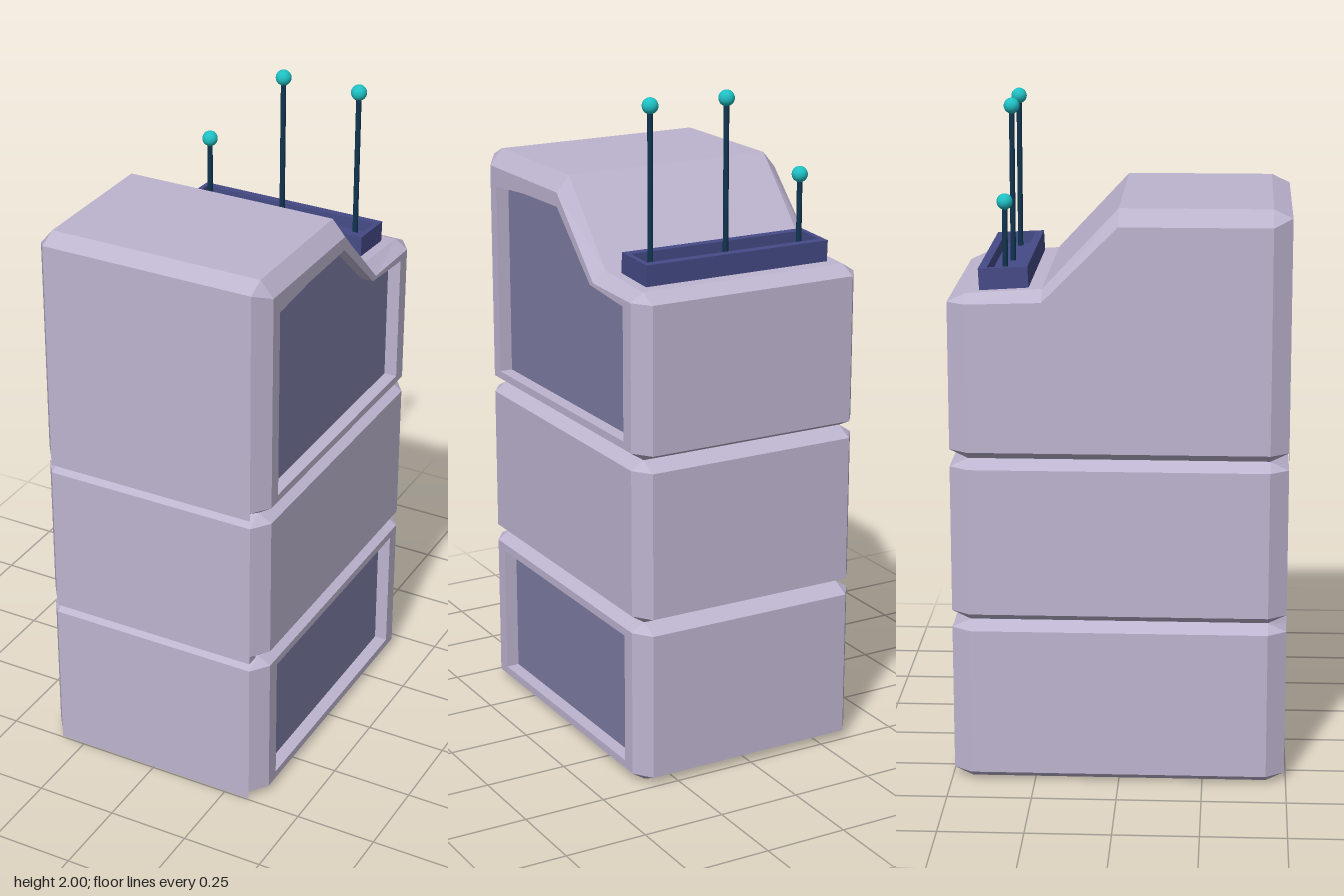
import * as THREE from 'three';

const mat = (color, side = THREE.FrontSide) =>
  new THREE.MeshStandardMaterial({ color, side, flatShading: true });
const bodyMat = mat(0xbdb4cf, THREE.DoubleSide);
const panelMat = mat(0x7d7ba3, THREE.DoubleSide);
const rackMat = mat(0x454a86);
const rodMat = mat(0x10344f);
const ballMat = new THREE.MeshStandardMaterial({ color: 0x1fc0c4 });

const XI = 0.33, XO = 0.37;   // half width of the front face / of the side faces
const ZI = 0.44, ZO = 0.495;  // half depth of the side faces / of the front face
const B = 0.026;              // height of the bevels
const RECESS = 0.04;

const toShape = (pts) => new THREE.Shape(pts.map(([u, v]) => new THREE.Vector2(u, v)));

function add(group, name, geometry, material) {
  const mesh = new THREE.Mesh(geometry, material);
  mesh.name = name;
  group.add(mesh);
  return mesh;
}

// Flat face in its own xy plane; with a hole it becomes a frame around a sunken panel
function face(name, outline, hole) {
  const g = new THREE.Group();
  g.name = name;
  const shape = toShape(outline);
  if (!hole) {
    add(g, name + 'Plate', new THREE.ShapeGeometry(shape), bodyMat);
    return g;
  }
  shape.holes.push(toShape(hole));
  const frame = new THREE.ExtrudeGeometry(shape, { depth: RECESS, bevelEnabled: false });
  add(g, name + 'Frame', frame.translate(0, 0, -RECESS), bodyMat);
  const panel = new THREE.ShapeGeometry(toShape(hole)).translate(0, 0, -RECESS);
  add(g, name + 'Panel', panel, panelMat);
  return g;
}

const rect = (u, v0, v1) => [[-u, v0], [u, v0], [u, v1], [-u, v1]];

// Bevelled case. Each profile entry is [z, y] on the middle strip, then [z, y] on the side face,
// running bottom, back, top, front.
function caseModule(name, profile, { sideHole, frontHole } = {}) {
  const g = new THREE.Group();
  g.name = name;
  const n = profile.length;
  const pos = [];
  const quad = (a, b, c, d) => pos.push(...a, ...b, ...c, ...a, ...c, ...d);
  for (let i = 0; i < n; i++) {
    const [pz, py, qz, qy] = profile[i];
    const [rz, ry, sz, sy] = profile[(i + 1) % n];
    // middle strip, leaving out the front face
    if (i !== n - 2) quad([XI, py, pz], [-XI, py, pz], [-XI, ry, rz], [XI, ry, rz]);
    // bevels to both sides
    quad([XI, py, pz], [XI, ry, rz], [XO, sy, sz], [XO, qy, qz]);
    quad([-XI, ry, rz], [-XI, py, pz], [-XO, qy, qz], [-XO, sy, sz]);
  }
  const geo = new THREE.BufferGeometry();
  geo.setAttribute('position', new THREE.Float32BufferAttribute(pos, 3));
  geo.computeVertexNormals();
  add(g, name + 'Shell', geo, bodyMat);

  // side outline without the doubled corner points
  const side = profile.map((p) => [p[2], p[3]])
    .filter((p, i, a) => i === 0 || p[0] !== a[i - 1][0] || p[1] !== a[i - 1][1]);
  const flip = (pts) => pts && pts.map(([z, y]) => [-z, y]);
  const left = face('leftSide', flip(side), flip(sideHole));
  left.rotation.y = Math.PI / 2;
  left.position.x = XO;
  const right = face('rightSide', side);
  right.rotation.y = -Math.PI / 2;
  right.position.x = -XO;
  const front = face('frontFace', rect(XI, profile[n - 1][1], profile[n - 2][1]), frontHole);
  front.position.z = ZO;
  g.add(left, right, front);
  return g;
}

// Profile of a case from y0 to yFront, with a lower back and extra points along the top
function makeProfile(y0, yFront, yBack = yFront, top = [], frontDrop = B) {
  return [
    [-ZI, y0, -ZI, y0 + B], [-ZO, y0 + B, -ZI, y0 + B],
    [-ZO, yBack - B, -ZI, yBack - B], [-ZI, yBack, -ZI, yBack - B],
    ...top,
    [ZI, yFront, ZI, yFront - frontDrop], [ZO, yFront - B, ZI, yFront - frontDrop],
    [ZO, y0 + B, ZI, y0 + B], [ZI, y0, ZI, y0 + B],
  ];
}

export function createModel() {
  const model = new THREE.Group();
  model.name = 'stackedCabinet';

  // three stacked cases
  model.add(caseModule('lowerCase', makeProfile(0, 0.497), { sideHole: rect(0.395, 0.05, 0.447) }));
  model.add(caseModule('middleCase', makeProfile(0.497, 0.991), { frontHole: rect(0.307, 0.54, 0.95) }));
  const slope = [[-0.22, 1.495, -0.22, 1.462], [0, 1.73, 0, 1.682]];
  model.add(caseModule('upperCase', makeProfile(0.991, 1.73, 1.481, slope, 0.048), {
    sideHole: [[0.4, 1.04], [-0.395, 1.04], [-0.395, 1.435], [-0.2, 1.453],
      [0, 1.64], [0.215, 1.637], [0.4, 1.623]],
  }));

  // antenna tray, tilted with the rear ledge
  const tray = new THREE.Group();
  tray.name = 'antennaTray';
  const rim = toShape(rect(0.3, -0.0715, 0.0715));
  rim.holes.push(toShape(rect(0.285, -0.0465, 0.0465)));
  const rimGeo = new THREE.ExtrudeGeometry(rim, { depth: 0.065, bevelEnabled: false });
  add(tray, 'trayRim', rimGeo.rotateX(-Math.PI / 2), rackMat);
  add(tray, 'trayFloor', new THREE.BoxGeometry(0.58, 0.03, 0.12).translate(0, 0.015, 0), rackMat);
  tray.position.set(0, 1.485, -0.332);
  tray.rotation.x = -0.05;
  model.add(tray);

  // antennas with ball tips
  for (const [x, y] of [[-0.248, 1.733], [0, 1.977], [0.246, 1.977]]) {
    const antenna = new THREE.Group();
    antenna.name = 'antenna';
    const base = 1.5;
    const rod = add(antenna, 'antennaRod', new THREE.CylinderGeometry(0.008, 0.008, y - base, 12), rodMat);
    rod.position.y = (y + base) / 2;
    add(antenna, 'antennaTip', new THREE.SphereGeometry(0.0235, 20, 14), ballMat).position.y = y;
    antenna.position.set(x, 0, -0.332);
    model.add(antenna);
  }
  return model;
}
